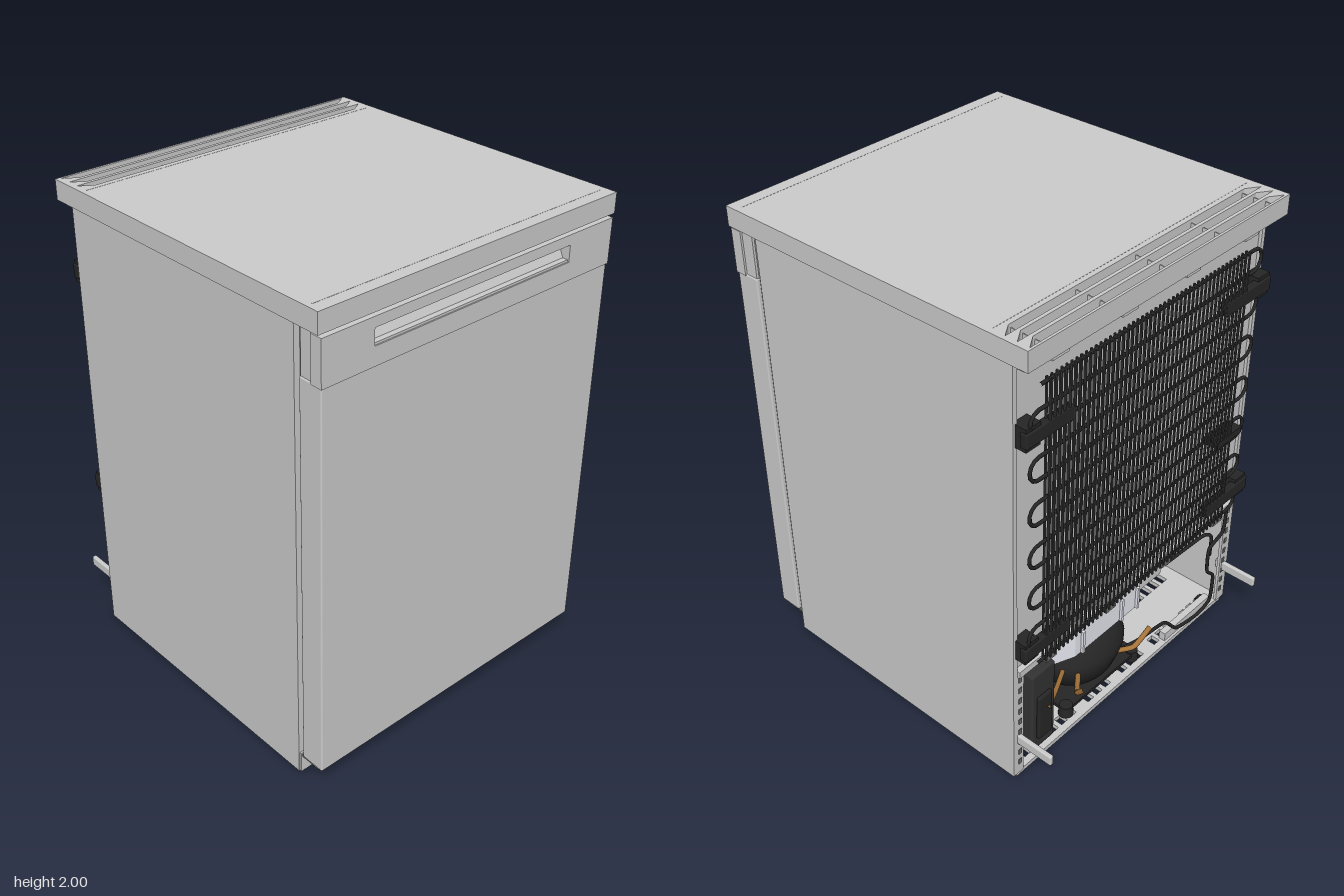
import * as THREE from 'three';
import { RoundedBoxGeometry } from 'three/addons/geometries/RoundedBoxGeometry.js';

const mats = {};
const mat = (color) => (mats[color] ??= new THREE.MeshStandardMaterial({ color }));
const GREY = 0xcccccc, DARK = 0x262626, MID = 0x707070, PALE = 0xe8e8f2, COPPER = 0xa8753a;
const V = (x, y, z) => new THREE.Vector3(x, y, z);

function add(parent, name, geo, color = GREY, x = 0, y = 0, z = 0) {
  const m = new THREE.Mesh(geo, mat(color));
  m.name = name;
  m.position.set(x, y, z);
  parent.add(m);
  return m;
}
// Box given by its minimum and maximum corners
function box(parent, name, x0, x1, y0, y1, z0, z1, color = GREY, round = 0) {
  const w = x1 - x0, h = y1 - y0, d = z1 - z0;
  const geo = round ? new RoundedBoxGeometry(w, h, d, 2, round) : new THREE.BoxGeometry(w, h, d);
  return add(parent, name, geo, color, (x0 + x1) / 2, (y0 + y1) / 2, (z0 + z1) / 2);
}
function tube(parent, name, pts, r, color) {
  const curve = new THREE.CatmullRomCurve3(pts.map((p) => V(...p)), false, 'catmullrom', 0.3);
  return add(parent, name, new THREE.TubeGeometry(curve, pts.length * 8, r, 8), color);
}
function rect(Type, x0, x1, y0, y1) {
  const p = new Type();
  p.moveTo(x0, y0);
  p.lineTo(x1, y0).lineTo(x1, y1).lineTo(x0, y1).closePath();
  return p;
}
function plate(shape, depth) {
  return new THREE.ExtrudeGeometry(shape, { depth, bevelEnabled: false, curveSegments: 10 });
}
function group(parent, name) {
  const g = new THREE.Group();
  g.name = name;
  parent.add(g);
  return g;
}

function buildCabinet(root) {
  const g = group(root, 'cabinet');
  // Side profile (z, y) with the stepped machine compartment at the back
  const s = new THREE.Shape([[0.61, 0.03], [0.61, 1.92], [-0.6, 1.92], [-0.6, 0.58], [-0.45, 0.56],
    [-0.27, 0.42], [-0.27, 0.03]].map((p) => new THREE.Vector2(...p)));
  const geo = plate(s, 1.34);
  geo.translate(0, 0, -0.67);
  geo.rotateY(-Math.PI / 2);
  add(g, 'body', geo);
  for (const k of [-1, 1]) {
    const a = k * 0.69, b = k * 0.67, c = k * 0.635;
    box(g, 'sidePanel', Math.min(a, b), Math.max(a, b), 0.03, 1.92, -0.613, 0.61);
    box(g, 'rearFlange', Math.min(b, c), Math.max(b, c), 0.03, 0.58, -0.613, -0.6);
    for (let i = 0; i < 9; i++)
      box(g, 'flangeSlot', k * 0.655 - 0.008, k * 0.655 + 0.008, 0.08 + i * 0.055, 0.105 + i * 0.055, -0.616, -0.612, MID);
    box(g, 'wallSpacer', k * 0.66 - 0.01, k * 0.66 + 0.01, 0.2, 0.245, -0.777, -0.58, GREY, 0.006);
    add(g, 'frontFoot', new THREE.CylinderGeometry(0.014, 0.014, 0.03, 12), DARK, k * 0.6, 0.017, 0.575);
    add(g, 'footPad', new THREE.CylinderGeometry(0.024, 0.026, 0.01, 16), DARK, k * 0.6, 0.005, 0.575);
    const wheel = add(g, 'rearRoller', new THREE.CylinderGeometry(0.02, 0.02, 0.04, 14), DARK, k * 0.6, 0.02, -0.55);
    wheel.rotation.z = Math.PI / 2;
  }
  box(g, 'compartmentRail', -0.67, 0.67, 0.555, 0.585, -0.625, -0.598);
  box(g, 'topRail', -0.66, 0.66, 1.88, 1.92, -0.635, -0.6);
  for (const x of [-0.55, -0.2, 0.15, 0.5]) {
    box(g, 'railClip', x - 0.04, x + 0.04, 1.868, 1.882, -0.645, -0.6);
    box(g, 'railTab', x - 0.03, x + 0.03, 0.535, 0.56, -0.63, -0.605, MID);
  }
  // Underside
  box(g, 'basePanel', -0.6, 0.6, 0.02, 0.032, -0.24, 0.55, 0x555555);
  for (const x of [-0.45, -0.15, 0.15, 0.45]) box(g, 'baseRib', x - 0.08, x + 0.08, 0.016, 0.021, -0.2, -0.12, 0x484848);
  const pan = rect(THREE.Shape, -0.67, 0.67, -0.61, -0.26);
  for (let i = 0; i < 22; i++) {
    const x = -0.6 + i * 0.055;
    pan.holes.push(rect(THREE.Path, x, x + 0.035, -0.37, -0.29));
    if (i % 4 < 3) pan.holes.push(rect(THREE.Path, x, x + 0.035, -0.58, -0.54));
  }
  const panGeo = plate(pan, 0.02);
  panGeo.rotateX(Math.PI / 2);
  panGeo.scale(1, 1, 1);
  add(g, 'slottedBasePan', panGeo, GREY, 0, 0.034, 0);
}

function buildTop(root) {
  const g = group(root, 'worktop');
  // Shape y maps to -z
  const s = rect(THREE.Shape, -0.704, 0.704, -0.738, 0.688);
  const slots = [0.642, 0.592, 0.542];
  for (const z of slots) {
    const h = new THREE.Path();
    h.moveTo(-0.63, z);
    h.lineTo(0.63, z).lineTo(0.685, z + 0.036).lineTo(-0.685, z + 0.036).closePath();
    s.holes.push(h);
  }
  const geo = plate(s, 0.08);
  geo.rotateX(-Math.PI / 2);
  add(g, 'topSlab', geo, GREY, 0, 1.92, 0);
  slots.forEach((z, i) => {
    const blade = box(g, 'ventBlade', -0.65, 0.65, 1.955, 1.959, -z - 0.034, -z - 0.004, 0xa0a0a0);
    blade.rotation.x = -0.85;
    for (const x of [-0.62, -0.31, 0, 0.31, 0.62])
      box(g, 'ventRib', x - 0.002, x + 0.002, 1.925, 1.985, -z - 0.036, -z);
  });
  // Fine seams on the top face
  box(g, 'frontSeam', -0.68, 0.68, 1.999, 2.0005, 0.684, 0.688, 0xb0b0b0);
  box(g, 'rearSeam', -0.68, 0.68, 1.999, 2.0005, -0.522, -0.518, 0xb0b0b0);
}

function buildDoor(root) {
  const g = group(root, 'door');
  box(g, 'gasket', -0.665, 0.665, 0.135, 1.89, 0.608, 0.622, 0x999999);
  box(g, 'gasketLip', -0.675, 0.675, 0.135, 1.89, 0.625, 0.642, 0x999999);
  box(g, 'doorPanel', -0.69, 0.69, 0.12, 1.735, 0.632, 0.737, GREY, 0.006);
  box(g, 'doorHeadCore', -0.685, 0.685, 1.73, 1.905, 0.636, 0.695);
  // Upper fascia with the grip opening
  const s = rect(THREE.Shape, -0.693, 0.693, 1.73, 1.908);
  s.holes.push(rect(THREE.Path, -0.47, 0.465, 1.803, 1.868));
  add(g, 'fascia', plate(s, 0.05), GREY, 0, 0, 0.691);
  const grip = box(g, 'gripScoop', -0.468, 0.463, 1.798, 1.862, 0.7, 0.706, 0xececec);
  grip.rotation.x = -0.4;
  box(g, 'gripLip', -0.468, 0.463, 1.8, 1.812, 0.7, 0.736, 0xececec);
  for (const k of [-1, 1]) {
    box(g, 'lowerHinge', k * 0.63 - 0.05, k * 0.63 + 0.05, 0.103, 0.114, 0.6, 0.71, MID);
    add(g, 'hingePin', new THREE.CylinderGeometry(0.012, 0.012, 0.025, 12), MID, k * 0.65, 0.11, 0.69);
    box(g, 'upperHinge', k * 0.63 - 0.04, k * 0.63 + 0.04, 1.904, 1.921, 0.6, 0.71, MID);
  }
}

function buildPlinth(root) {
  const g = group(root, 'plinth');
  box(g, 'plinthPanel', -0.685, 0.685, 0.03, 0.12, 0.6, 0.618);
  box(g, 'lowerFlap', -0.47, 0.47, 0.012, 0.062, 0.59, 0.623);
  for (const x of [-0.34, -0.1, 0.14, 0.36])
    for (const y of [0.03, 0.055]) box(g, 'flapSlot', x - 0.015, x + 0.015, y - 0.005, y + 0.005, 0.62, 0.6245, DARK);
  box(g, 'levelWindowFrame', -0.632, -0.553, 0.06, 0.1, 0.61, 0.625, MID);
  box(g, 'levelWindow', -0.626, -0.559, 0.066, 0.094, 0.62, 0.628);
  box(g, 'controlPlate', 0.535, 0.682, 0.048, 0.105, 0.61, 0.624, 0x999999);
  for (const x of [0.56, 0.605, 0.655]) {
    const cap = add(g, 'screwCap', new THREE.CylinderGeometry(0.016, 0.016, 0.02, 18), MID, x, 0.077, 0.62);
    cap.rotation.x = Math.PI / 2;
  }
}

function buildCondenser(root) {
  const g = group(root, 'condenser');
  const path = new THREE.CurvePath();
  path.arcLengthDivisions = 2000;
  const n = 14, top = 1.82, p = 0.093, z = -0.655, xr = 0.61, xl = -0.565;
  // Serpentine pipe: straight runs joined by half-round bends
  for (let i = 0; i < n; i++) {
    const y = top - i * p, [a, b] = i % 2 ? [xl, xr] : [xr, xl];
    path.add(new THREE.LineCurve3(V(a, y, z), V(b, y, z)));
    const e = b + Math.sign(b) * p * 0.667;
    if (i < n - 1) path.add(new THREE.CubicBezierCurve3(V(b, y, z), V(e, y, z), V(e, y - p, z), V(b, y - p, z)));
  }
  add(g, 'serpentinePipe', new THREE.TubeGeometry(path, 800, 0.0075, 6), DARK);
  for (let i = 0; i < 46; i++) {
    const x = 0.57 - i * 0.0242;
    for (const dz of [-0.008, 0.008])
      box(g, 'coolingWire', x - 0.004, x + 0.004, 0.6, 1.83, z + dz - 0.003, z + dz + 0.003, 0x383838);
  }
  // Clamps holding the grid to the cabinet
  for (const [x0, x1] of [[0.45, 0.685], [-0.68, -0.4]])
    for (const y of [1.64, 0.7]) {
      box(g, 'clampArm', x0, x1, y - 0.03, y + 0.03, -0.668, -0.635, DARK, 0.006);
      const o = x0 > 0 ? x1 : x0, c = o - Math.sign(o) * 0.04;
      box(g, 'clampBase', c - 0.035, c + 0.035, y - 0.045, y + 0.045, -0.66, -0.6, DARK);
    }
  box(g, 'pipeClip', -0.59, -0.43, 1.0, 1.03, -0.668, -0.6, DARK);
}

function buildMachinery(root) {
  const g = group(root, 'machinery');
  // Compressor shell
  const profile = [[0, 0.07], [0.1, 0.075], [0.17, 0.11], [0.2, 0.17], [0.21, 0.2], [0.21, 0.23], [0.2, 0.24], [0.18, 0.3], [0.11, 0.345], [0, 0.355]];
  const shell = add(g, 'compressor', new THREE.LatheGeometry(profile.map((q) => new THREE.Vector2(...q)), 36), DARK, 0.1, 0, -0.45);
  shell.scale.z = 0.7;
  box(g, 'compressorMount', -0.13, 0.33, 0.06, 0.075, -0.57, -0.33, DARK);
  for (const x of [-0.11, 0.31])
    for (const z of [-0.55, -0.35])
      add(g, 'rubberMount', new THREE.CylinderGeometry(0.028, 0.032, 0.05, 14), DARK, x, 0.057, z);
  // Drip tray above the compressor
  const outer = new THREE.Shape([[0.45, -0.31], [0.45, -0.52], [0.3, -0.58], [-0.1, -0.58], [-0.22, -0.48], [-0.22, -0.31]].map((q) => new THREE.Vector2(q[0], -q[1])));
  outer.holes.push(rect(THREE.Path, -0.2, 0.43, 0.325, 0.46));
  const wall = plate(outer, 0.13);
  wall.rotateX(-Math.PI / 2);
  add(g, 'dripTrayWall', wall, PALE, 0, 0.36, 0);
  box(g, 'dripTrayFloor', -0.21, 0.44, 0.35, 0.37, -0.48, -0.31, PALE);
  add(g, 'dripTrayCup', new THREE.CylinderGeometry(0.09, 0.09, 0.14, 28), PALE, 0.16, 0.43, -0.46);
  for (const x of [-0.08, 0.02, 0.26]) box(g, 'dripTrayRib', x - 0.006, x + 0.006, 0.36, 0.47, -0.592, -0.57, PALE);
  // Electrical box and side cover
  box(g, 'electricalBox', 0.47, 0.6, 0.1, 0.5, -0.625, -0.45, 0x333333, 0.01);
  box(g, 'electricalCover', 0.5, 0.575, 0.16, 0.38, -0.64, -0.62, DARK, 0.008);
  box(g, 'sideBlock', -0.56, -0.27, 0.09, 0.36, -0.36, -0.27);
  box(g, 'panRail', -0.6, -0.28, 0.035, 0.075, -0.6, -0.57);
  // Refrigerant pipes
  tube(g, 'copperPipe', [[0.24, 0.2, -0.55], [0.33, 0.22, -0.62], [0.36, 0.26, -0.65], [0.37, 0.31, -0.69]], 0.011, COPPER);
  tube(g, 'copperPipe', [[0.02, 0.18, -0.57], [-0.03, 0.2, -0.62], [-0.12, 0.25, -0.63]], 0.011, COPPER);
  tube(g, 'copperPipe', [[0.27, 0.22, -0.5], [0.42, 0.25, -0.58], [0.54, 0.31, -0.645]], 0.01, COPPER);
  tube(g, 'suctionPipe', [[0, 0.17, -0.57], [-0.1, 0.18, -0.6], [-0.25, 0.17, -0.61], [-0.33, 0.09, -0.62], [-0.46, 0.08, -0.63],
    [-0.52, 0.14, -0.65], [-0.52, 0.28, -0.655], [-0.47, 0.34, -0.655], [-0.47, 0.46, -0.655], [-0.56, 0.5, -0.655], [-0.57, 0.61, -0.655]], 0.0075, DARK);
  tube(g, 'dischargePipe', [[-0.2, 0.53, -0.62], [-0.45, 0.53, -0.63], [-0.5, 0.5, -0.64], [-0.5, 0.4, -0.64]], 0.0075, DARK);
}

export function createModel() {
  const root = new THREE.Group();
  root.name = 'refrigerator';
  for (const build of [buildCabinet, buildTop, buildDoor, buildPlinth, buildCondenser, buildMachinery]) build(root);
  return root;
}
